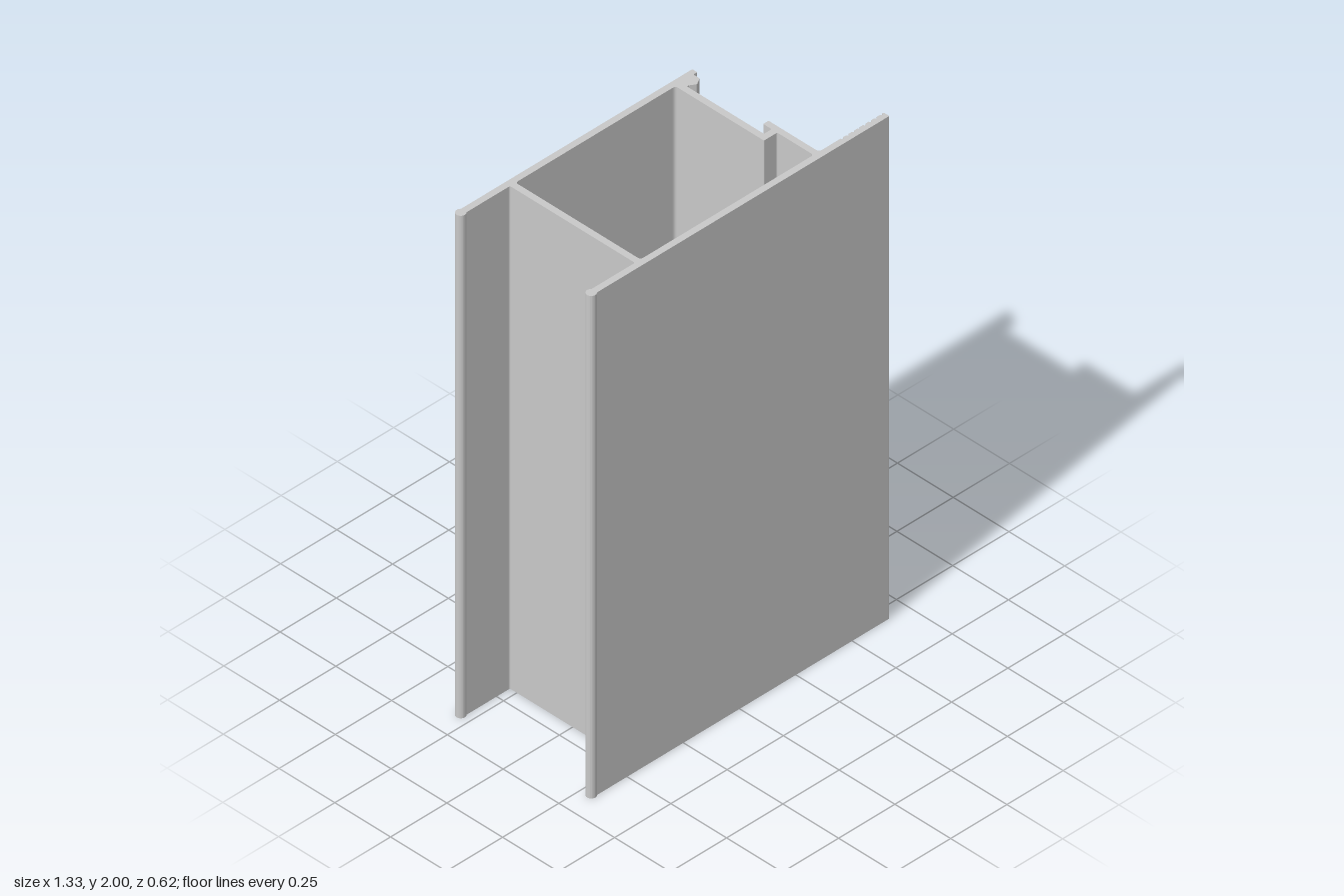
import * as THREE from 'three';

const HEIGHT = 2;

// Closed path through [x, z, cornerRadius] points; z is flipped for the later upright turn
function trace(path, points) {
  const pts = points.map(([x, z]) => new THREE.Vector2(x, -z));
  const n = pts.length;
  points.forEach(([, , r = 0], i) => {
    const p = pts[i];
    const toward = (q) => p.clone().add(q.clone().sub(p).setLength(r));
    const a = r ? toward(pts[(i + n - 1) % n]) : p;
    if (i === 0) path.moveTo(a.x, a.y);
    else path.lineTo(a.x, a.y);
    if (r) {
      const b = toward(pts[(i + 1) % n]);
      path.quadraticCurveTo(p.x, p.y, b.x, b.y);
    }
  });
  path.closePath();
  return path;
}

// Round bead on the left edge of a plate, running from its front face round to its back face
function bead(zMid) {
  const r = 0.0185, start = 0.74, steps = 16;
  return Array.from({ length: steps + 1 }, (_, i) => {
    const a = start + (i / steps) * (2 * Math.PI - 2 * start);
    return [-0.647 + r * Math.cos(a), zMid + r * Math.sin(a)];
  });
}

// Fine grooves along the inner face of the front flange, from left to right
function grooves(z) {
  const pts = [];
  for (let i = 0; i < 8; i++) {
    const x = 0.473 + i * 0.025;
    pts.push([x, z], [x + 0.002, z + 0.005], [x + 0.008, z + 0.005], [x + 0.01, z]);
  }
  return pts;
}

export function createModel() {
  const group = new THREE.Group();
  group.name = 'frameProfile';
  const aluminium = new THREE.MeshStandardMaterial({ color: 0xc8c8c8 });
  aluminium.name = 'aluminium';

  const outline = [
    // back plate with its beaded edge and hooked right end
    ...bead(-0.2935),
    [0.394, -0.306, 0.004], [0.394, -0.284, 0.004], [0.377, -0.284],
    [0.377, -0.256], [0.35, -0.24, 0.004], [0.327, -0.254], [0.319, -0.254],
    // right web, step and upstand
    [0.319, 0.091, 0.004], [0.353, 0.091, 0.004],
    [0.353, 0.053, 0.004], [0.377, 0.053, 0.004], [0.377, 0.279, 0.014],
    // grooved front flange and front plate
    ...grooves(0.279),
    [0.665, 0.279, 0.003], [0.665, 0.304, 0.003],
    // front beaded edge
    ...bead(0.2915),
    // outside of the left web
    [-0.441, 0.279, 0.006], [-0.441, -0.281, 0.006],
  ];
  // inner chamber, wound opposite to the outline
  const chamber = [
    [-0.416, 0.279, 0.012], [0.353, 0.279, 0.012], [0.353, 0.116, 0.006],
    [0.294, 0.116, 0.003], [0.294, -0.281, 0.012], [-0.416, -0.281, 0.012],
  ];

  const section = trace(new THREE.Shape(), outline);
  section.holes.push(trace(new THREE.Path(), chamber));
  const extruded = new THREE.ExtrudeGeometry(section, {
    depth: HEIGHT, bevelEnabled: false, curveSegments: 6,
  });
  extruded.rotateX(-Math.PI / 2);

  const body = new THREE.Mesh(extruded, aluminium);
  body.name = 'hollowExtrusion';
  group.add(body);
  return group;
}
